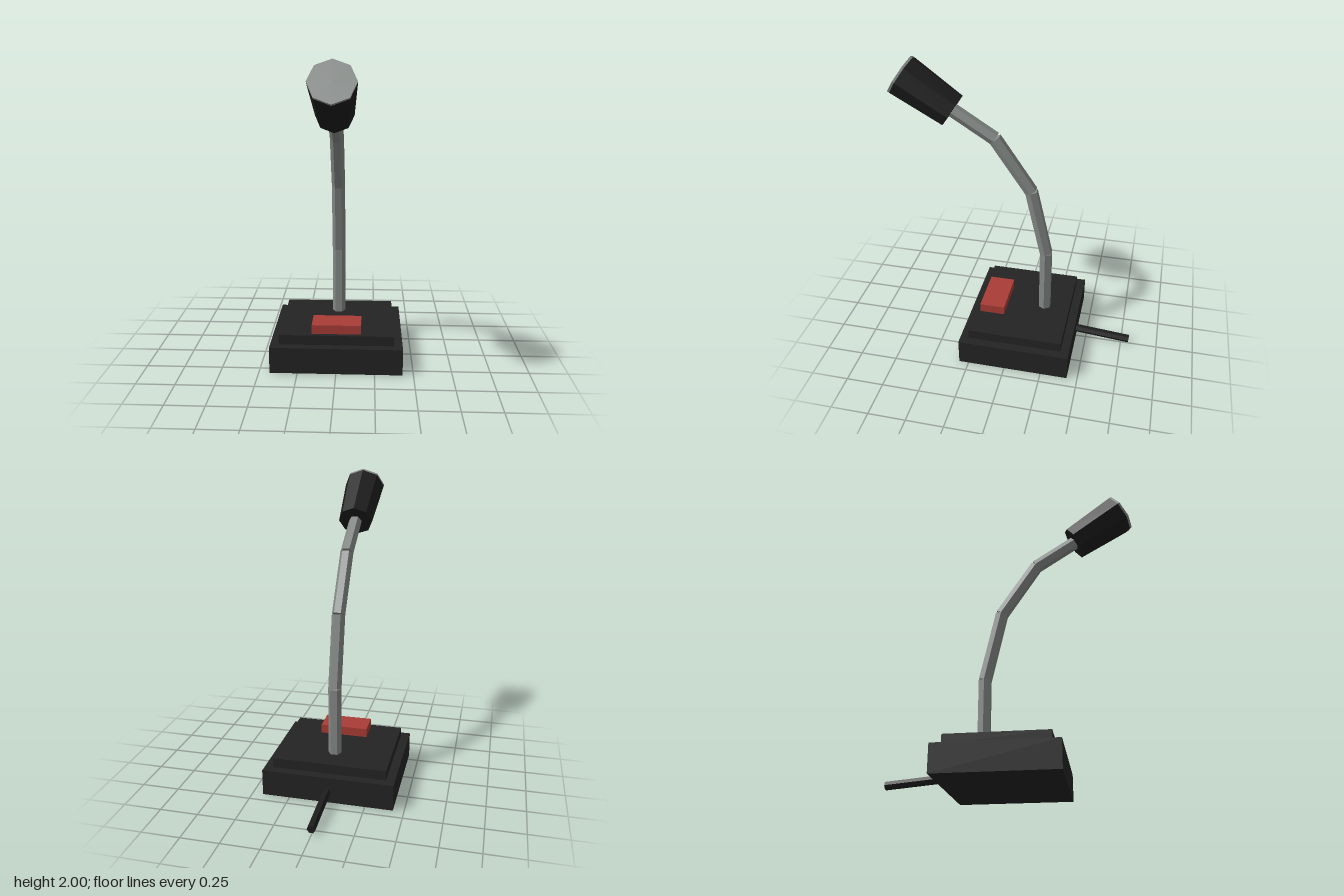
import * as THREE from 'three';

const material = (name, color) => {
  const m = new THREE.MeshStandardMaterial({ color, flatShading: true });
  m.name = name;
  return m;
};

export function createModel() {
  const charcoal = material('charcoal', 0x232323);
  const black = material('black', 0x1d1d1d);
  const grey = material('grey', 0x838885);
  const red = material('red', 0xa83c36);
  const model = new THREE.Group();
  model.name = 'deskMicrophone';

  // Box given by half width, y range and z range
  const block = (name, mat, halfX, y0, y1, z0, z1) => {
    const mesh = new THREE.Mesh(new THREE.BoxGeometry(halfX * 2, y1 - y0, z1 - z0), mat);
    mesh.position.set(0, (y0 + y1) / 2, (z0 + z1) / 2);
    mesh.name = name;
    model.add(mesh);
  };

  // Faceted rod in the x = 0 plane between two [y, z] points
  const rod = (name, mat, [y0, z0], [y1, z1], r0, r1, sides, turn = 0) => {
    const length = Math.hypot(y1 - y0, z1 - z0);
    const geometry = new THREE.CylinderGeometry(r1, r0, length, sides).rotateY(turn);
    const mesh = new THREE.Mesh(geometry, mat);
    mesh.position.set(0, (y0 + y1) / 2, (z0 + z1) / 2);
    mesh.rotation.x = Math.atan2(z1 - z0, y1 - y0);
    mesh.name = name;
    model.add(mesh);
  };

  // Stepped base and talk button
  block('base', charcoal, 0.43, 0, 0.175, -0.43, 0.315);
  block('basePlate', charcoal, 0.373, 0.175, 0.24, -0.373, 0.258);
  block('talkButton', red, 0.16, 0.24, 0.3, 0.06, 0.23);

  // Gooseneck of straight hexagonal segments
  const neck = [[0.24, -0.197], [0.695, -0.197], [1.16, -0.092], [1.51, 0.143], [1.685, 0.42]];
  for (let i = 0; i < neck.length - 1; i++) {
    rod('neckSegment' + (i + 1), grey, neck[i], neck[i + 1], 0.044, 0.044, 6, Math.PI / 6);
  }

  // Tapered octagonal head with a grille disc on its front end
  rod('head', black, [1.675, 0.408], [1.878, 0.717], 0.114, 0.137, 8);
  rod('grille', grey, [1.878, 0.717], [1.886, 0.729], 0.137, 0.137, 8);

  // Cable leaving the back of the base
  rod('cable', black, [0.075, -0.4], [0.04, -0.803], 0.027, 0.027, 6, Math.PI / 6);

  return model;
}
